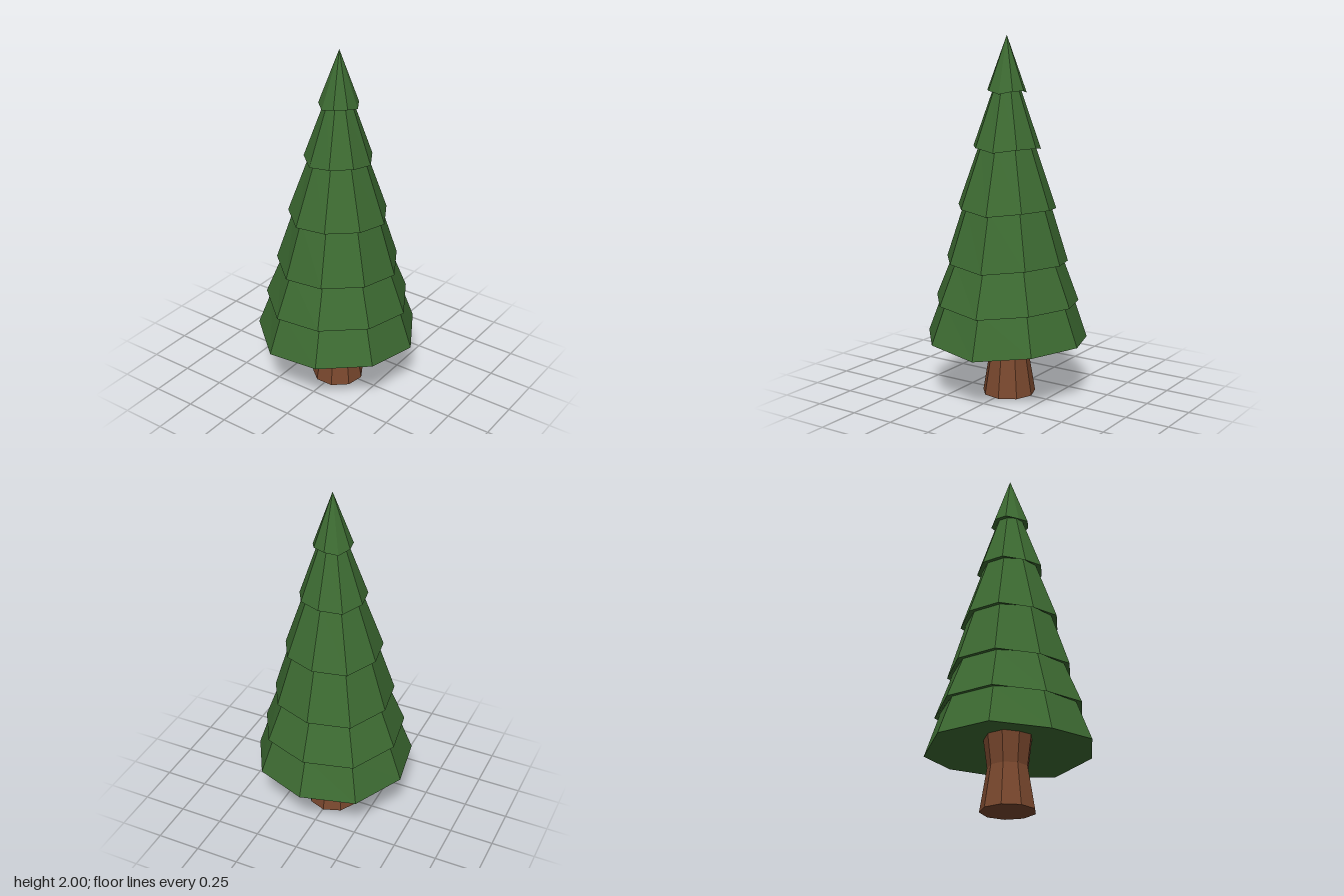
import * as THREE from 'three';

const SIDES = 9;

// Faceted solid of revolution with one corner pointing to -z
function facetedLathe(name, profile, color) {
  const points = profile.map(([r, y]) => new THREE.Vector2(r, y));
  const geometry = new THREE.LatheGeometry(points, SIDES, Math.PI);
  const material = new THREE.MeshStandardMaterial({ color, flatShading: true });
  const mesh = new THREE.Mesh(geometry, material);
  mesh.name = name;
  return mesh;
}

// Branch tiers: rim radius, rim height
const TIERS = [
  [0.457, 0.33], [0.407, 0.543], [0.344, 0.772],
  [0.276, 1.07], [0.188, 1.4], [0.109, 1.705],
];

function createCanopy() {
  // Hollow underside, then each rim followed by the neck below the next tier
  const profile = [[0, 0.43]];
  const rims = [];
  TIERS.forEach(([radius, y], i) => {
    rims.push(profile.length);
    profile.push([radius, y]);
    const next = TIERS[i + 1];
    profile.push(next ? [next[0] - 0.032, next[1] + 0.005] : [0, 2]);
  });
  const canopy = facetedLathe('canopy', profile, 0x3d6b32);

  // Every third rim corner droops; the crown leans slightly
  const pos = canopy.geometry.attributes.position;
  for (let i = 0; i < pos.count; i++) {
    const column = Math.floor(i / profile.length);
    const tier = rims.indexOf(i % profile.length);
    if (tier >= 0 && column % 3 === 1) pos.setY(i, pos.getY(i) - 0.025 + 0.002 * tier);
    const lean = (pos.getY(i) - 0.33) / 1.67;
    pos.setX(i, pos.getX(i) + 0.008 * lean);
    pos.setZ(i, pos.getZ(i) + 0.012 - 0.006 * lean);
  }
  canopy.geometry.computeVertexNormals();
  return canopy;
}

export function createModel() {
  const tree = new THREE.Group();
  tree.name = 'pineTree';

  // Trunk: flared foot, narrow waist, widening into the branches
  const trunk = facetedLathe('trunk', [[0, 0], [0.15, 0], [0.111, 0.235], [0.136, 0.43]], 0x7a482e);
  trunk.position.x = -0.004;

  tree.add(trunk, createCanopy());
  return tree;
}
